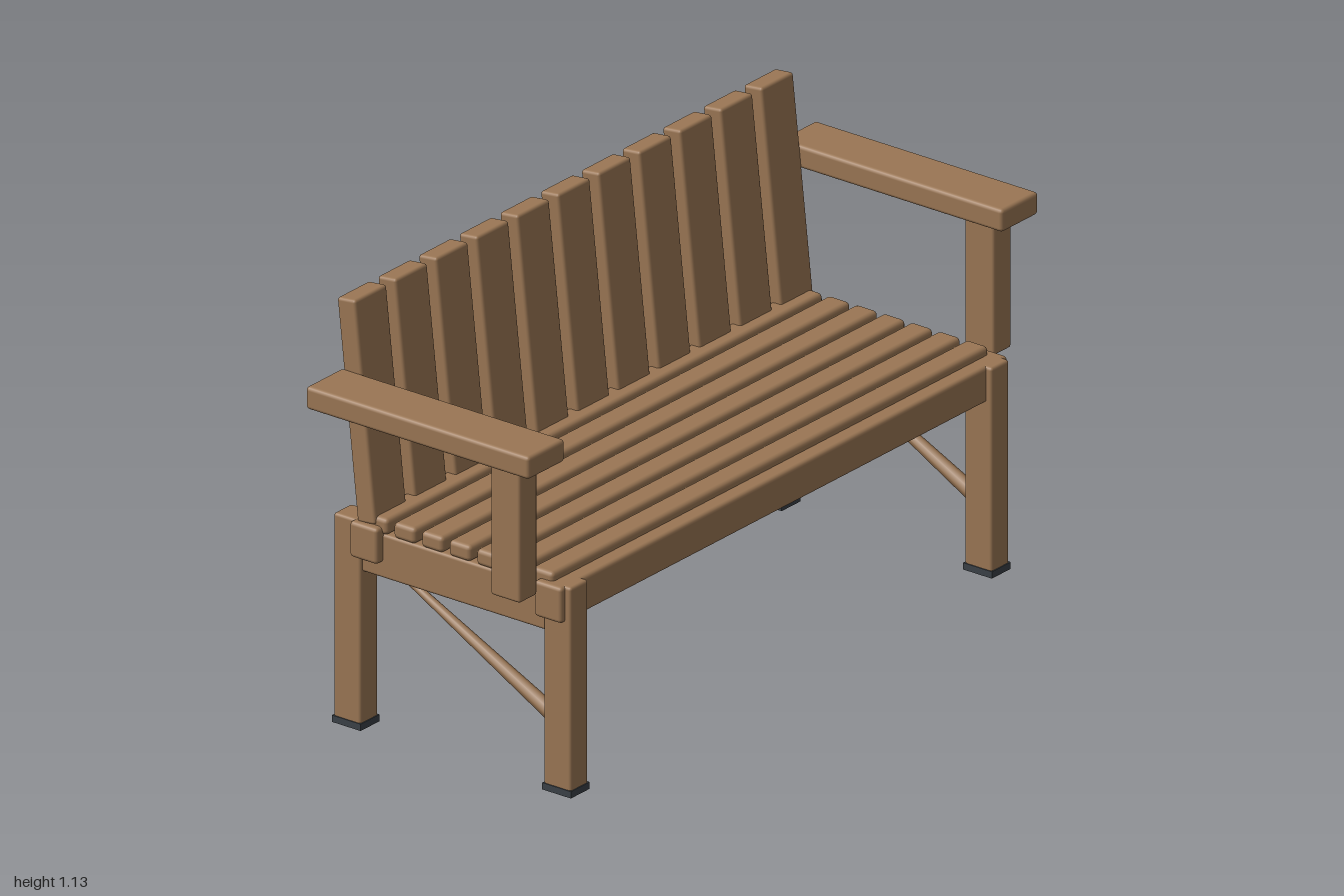
import * as THREE from 'three';
import { RoundedBoxGeometry } from 'three/addons/geometries/RoundedBoxGeometry.js';

export function createModel() {
  const bench = new THREE.Group();
  bench.name = 'gardenBench';

  const wood = new THREE.MeshStandardMaterial({ color: 0x9a7654 });
  wood.name = 'wood';
  const rubber = new THREE.MeshStandardMaterial({ color: 0x3a4046 });
  rubber.name = 'rubber';

  // Rounded timber given by its min and max on each axis
  function timber(name, [x0, x1], [y0, y1], [z0, z1], radius = 0.008) {
    const geometry = new RoundedBoxGeometry(x1 - x0, y1 - y0, z1 - z0, 2, radius);
    const mesh = new THREE.Mesh(geometry, wood);
    mesh.name = name;
    mesh.position.set((x0 + x1) / 2, (y0 + y1) / 2, (z0 + z1) / 2);
    bench.add(mesh);
    return mesh;
  }
  // Same timber on the left (+1) or right (-1) side
  const span = (side, a, b) => (side > 0 ? [a, b] : [-b, -a]);

  // Hollow foot cap: a square rim closed by a recessed plate
  const rim = new THREE.Shape();
  rim.moveTo(-0.037, -0.044).lineTo(0.037, -0.044).lineTo(0.037, 0.044).lineTo(-0.037, 0.044).closePath();
  const hole = new THREE.Path();
  hole.moveTo(-0.02, -0.026).lineTo(-0.02, 0.026).lineTo(0.02, 0.026).lineTo(0.02, -0.026).closePath();
  rim.holes.push(hole);
  const rimGeometry = new THREE.ExtrudeGeometry(rim, { depth: 0.018, bevelEnabled: false });
  rimGeometry.rotateX(-Math.PI / 2);
  const plateGeometry = new THREE.BoxGeometry(0.042, 0.006, 0.054);
  plateGeometry.translate(0, 0.011, 0);

  for (const side of [1, -1]) {
    // Legs with foot caps
    for (const end of [1, -1]) {
      const label = end > 0 ? 'frontLeg' : 'backLeg';
      timber(label, span(side, 0.79, 0.86), [0.012, 0.555], span(end, 0.281, 0.365));
      const cap = new THREE.Group();
      cap.name = label + 'FootCap';
      cap.add(new THREE.Mesh(rimGeometry, rubber), new THREE.Mesh(plateGeometry, rubber));
      cap.position.set(side * 0.825, 0, end * 0.323);
      bench.add(cap);
    }

    // Side rail, arm post and armrest
    timber('sideRail', span(side, 0.798, 0.852), [0.418, 0.535], [-0.29, 0.29]);
    timber('armPost', span(side, 0.894, 0.964), [0.53, 0.887], [0.199, 0.29]);
    timber('armrest', span(side, 0.856, 1.0), [0.885, 0.945], [-0.341, 0.345], 0.01);

    // Tapered brace from the front leg up to the side rail
    const low = new THREE.Vector3(side * 0.825, 0.193, 0.275);
    const high = new THREE.Vector3(side * 0.825, 0.431, -0.18);
    const brace = new THREE.Mesh(
      new THREE.CylinderGeometry(0.009, 0.021, low.distanceTo(high), 8), wood);
    brace.name = 'brace';
    brace.position.copy(low).lerp(high, 0.5);
    brace.quaternion.setFromUnitVectors(
      new THREE.Vector3(0, 1, 0), high.clone().sub(low).normalize());
    bench.add(brace);
  }

  // Long rails
  timber('frontRail', [-0.876, 0.876], [0.46, 0.555], [0.263, 0.348], 0.01);
  timber('backRail', [-0.876, 0.876], [0.46, 0.555], [-0.304, -0.218], 0.01);

  // Seat slats
  for (let i = 0; i < 7; i++) {
    const z = 0.272 - i * 0.0848;
    timber('seatSlat', [-0.855, 0.855], [0.534, 0.577], [z - 0.034, z + 0.034], 0.012);
  }

  // Leaning back slats
  for (let i = 0; i < 11; i++) {
    const x = (i - 5) * 0.1594;
    const slat = timber('backSlat', [x - 0.063, x + 0.063], [0, 0.582], [-0.0285, 0.0285]);
    slat.position.set(x, 0.842, -0.295);
    slat.rotation.x = -0.108;
  }

  return bench;
}
